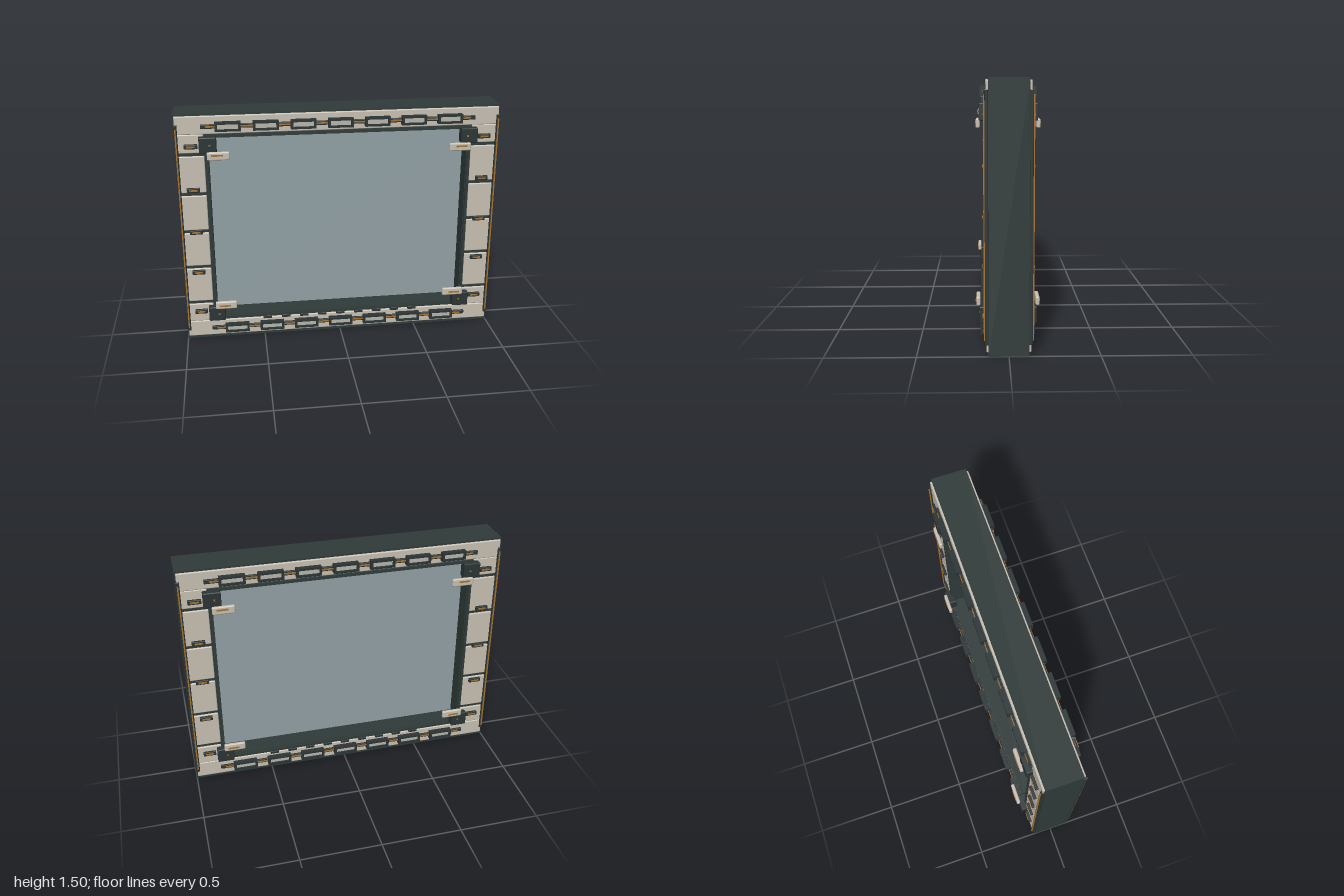
import * as THREE from 'three';
import { RoundedBoxGeometry } from 'three/addons/geometries/RoundedBoxGeometry.js';

const material = (name, color) => Object.assign(new THREE.MeshStandardMaterial({ color }), { name });

export function createModel() {
  const body = material('dark frame', 0x303c3a);
  const hardware = material('dark hardware', 0x2c3537);
  const panel = material('warm grey panel', 0xc9c1b4);
  const inset = material('grey inset', 0xb9b7ac);
  const brass = material('amber', 0xa8732c);
  const glassMat = material('glass', 0x93a2a6);

  const model = new THREE.Group();
  model.name = 'window';
  const H = 1.495, D = 0.11, MID = H / 2;

  // Box given by centre, size and z range; a radius rounds the edges
  function box(parent, name, mat, x, y, w, h, z0, z1, r = 0) {
    const d = z1 - z0;
    const geo = r ? new RoundedBoxGeometry(w, h, d, 2, r) : new THREE.BoxGeometry(w, h, d);
    const mesh = new THREE.Mesh(geo, mat);
    mesh.name = name;
    mesh.position.set(x, y, (z0 + z1) / 2);
    parent.add(mesh);
    return mesh;
  }

  // Rectangular ring with a hole, from x/y limits
  function ring(parent, name, mat, outer, inner, z0, z1) {
    const path = (P, [x0, y0, x1, y1]) => {
      const p = new P();
      p.moveTo(x0, y0); p.lineTo(x1, y0); p.lineTo(x1, y1); p.lineTo(x0, y1); p.closePath();
      return p;
    };
    const shape = path(THREE.Shape, outer);
    shape.holes.push(path(THREE.Path, inner));
    const mesh = new THREE.Mesh(
      new THREE.ExtrudeGeometry(shape, { depth: z1 - z0, bevelEnabled: false }), mat);
    mesh.name = name;
    mesh.position.z = z0;
    parent.add(mesh);
  }

  // Main frame and pane, with a narrow gap above and below the glass
  ring(model, 'frame', body, [-1, 0, 1, H], [-0.8, 0.155, 0.8, 1.345], -D, D);
  box(model, 'glass', glassMat, 0, 0.748, 1.6, 1.156, -0.01, 0.01);

  // Small dark latch with an amber plate
  function latch(face, x, y) {
    const g = new THREE.Group();
    g.name = 'latch';
    box(g, 'latchBody', hardware, x, y, 0.08, 0.028, 0.12, 0.138, 0.004);
    box(g, 'latchPlate', brass, x, y, 0.05, 0.01, 0.136, 0.142);
    face.add(g);
  }

  // Rod carrying seven framed links
  function linkRail(face, y) {
    const g = new THREE.Group();
    g.name = 'linkRail';
    box(g, 'rod', hardware, 0, y, 1.68, 0.026, 0.12, 0.135, 0.004);
    box(g, 'rodStripe', brass, 0, y, 1.62, 0.009, 0.134, 0.139);
    for (let i = -3; i <= 3; i++) {
      const x = i * 0.226;
      ring(g, 'link', hardware, [x - 0.077, y - 0.028, x + 0.077, y + 0.028],
        [x - 0.062, y - 0.015, x + 0.062, y + 0.015], 0.122, 0.156);
      box(g, 'linkInset', inset, x, y, 0.126, 0.032, 0.122, 0.145);
    }
    face.add(g);
  }

  // Dark corner block with a light handle tab
  function corner(face, s, top) {
    const g = new THREE.Group();
    g.name = 'cornerLock';
    const y = top ? 1.312 : 0.188, tabY = top ? 1.247 : 0.254;
    box(g, 'cornerBlock', hardware, s * 0.802, y, 0.105, 0.096, 0.1, 0.16, 0.006);
    box(g, 'cornerBolt', brass, s * 0.79, y, 0.01, 0.01, 0.158, 0.162);
    box(g, 'handleTab', panel, s * 0.742, tabY, 0.135, 0.05, 0.154, 0.177, 0.008);
    box(g, 'tabStripe', brass, s * 0.75, tabY + (top ? 0.006 : -0.002), 0.07, 0.01, 0.175, 0.181);
    face.add(g);
  }

  function createFace(name) {
    const face = new THREE.Group();
    face.name = name;

    // Top and bottom panels
    box(face, 'topPanel', panel, 0, 1.427, 1.985, 0.112, D - 0.005, 0.122, 0.006);
    box(face, 'bottomPanel', panel, 0, 0.073, 1.985, 0.106, D - 0.005, 0.122, 0.006);

    // Raised bead around the opening
    ring(face, 'openingBead', body, [-0.822, 0.133, 0.822, 1.367], [-0.805, 0.15, 0.805, 1.35], D - 0.005, 0.124);

    for (const s of [-1, 1]) {
      // Side panels between dark seams
      const seams = [0.127, 0.26, 0.508, 0.75, 0.995, 1.246, 1.371];
      for (let i = 0; i < seams.length - 1; i++) {
        const a = seams[i] + (i ? 0.01 : 0), b = seams[i + 1] - (i < 5 ? 0.01 : 0);
        box(face, 'sidePanel', panel, s * 0.904, (a + b) / 2, 0.158, b - a, D - 0.005, 0.121, 0.006);
      }
      for (const y of [0.2, 0.477, 0.75, 1.025, 1.3]) latch(face, s * 0.903, y);

      // Outer vertical rail
      box(face, 'outerRail', hardware, s * 0.988, MID, 0.022, 1.37, D, 0.129, 0.004);
      box(face, 'outerRailStripe', brass, s * 0.988, MID, 0.008, 1.32, 0.128, 0.136);

      corner(face, s, true);
      corner(face, s, false);
    }

    linkRail(face, 1.42);
    linkRail(face, 0.075);

    // Row of small clips under the opening
    for (let i = -4; i <= 4; i++)
      box(face, 'sillClip', hardware, i * 0.12, 0.131, 0.055, 0.018, 0.115, 0.136, 0.003);
    return face;
  }

  // Both faces carry the same fittings
  const front = createFace('frontFace');
  const back = createFace('backFace');
  back.rotation.y = Math.PI;
  model.add(front, back);
  return model;
}
